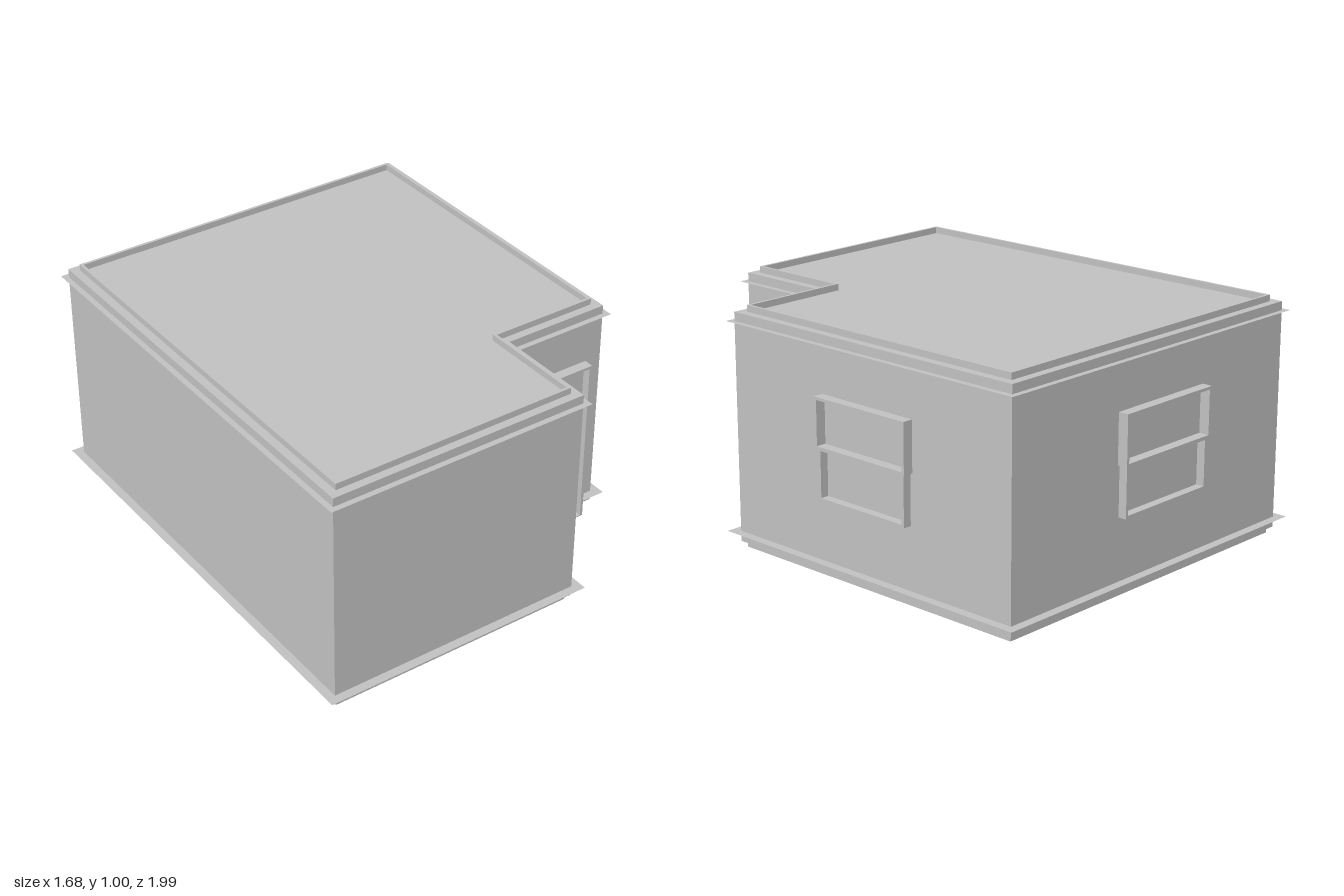
import * as THREE from 'three';

export function createModel() {
  const model = new THREE.Group();
  const plaster = new THREE.MeshStandardMaterial({ color: 0xc0c0c0, side: THREE.DoubleSide });
  plaster.name = 'plaster grey';

  const add = (parent, name, geometry) => {
    const mesh = new THREE.Mesh(geometry, plaster);
    mesh.name = name;
    parent.add(mesh);
    return mesh;
  };

  // L-shaped floor plan grown outwards by d; optional gap cut for the doorway
  const outline = (d, doorGap = false) => {
    const points = [
      [-0.798 - d, 0.953 + d], [0.33 + d, 0.953 + d], [0.33 + d, 0.505 + d],
      ...(doorGap ? [[0.41, 0.505 + d], [0.41, 0.49], [0.715, 0.49], [0.715, 0.505 + d]] : []),
      [0.798 + d, 0.505 + d], [0.798 + d, -0.953 - d], [-0.798 - d, -0.953 - d],
    ];
    return points.map(([x, z]) => new THREE.Vector2(x, -z));
  };

  const slab = (shape, y, height) => new THREE.ExtrudeGeometry(shape, { depth: height, bevelEnabled: false })
    .rotateX(-Math.PI / 2).translate(0, y, 0);
  const sheet = (shape, y) => new THREE.ShapeGeometry(shape).rotateX(-Math.PI / 2).translate(0, y, 0);
  const ring = (outer, inner) => {
    const shape = new THREE.Shape(outline(outer));
    shape.holes.push(new THREE.Path(outline(inner)));
    return shape;
  };

  // Main body with its roof and floor
  add(model, 'walls', slab(new THREE.Shape(outline(0)), 0.025, 0.95));
  add(model, 'roofRim', slab(ring(-0.035, -0.047), 0.975, 0.027));
  add(model, 'plinth', slab(ring(-0.018, -0.03), 0, 0.025));

  // Thin projecting ledges under the roof and above the ground
  add(model, 'corniceLedge', sheet(new THREE.Shape(outline(0.024)), 0.938));
  add(model, 'baseLedge', sheet(new THREE.Shape(outline(0.038, true)), 0.068));

  // Rectangular frame in the xy plane, back at z = 0
  const frame = (parent, name, x0, x1, y0, y1, bar, depth, withSill = true) => {
    const shape = new THREE.Shape([[x0, y0], [x1, y0], [x1, y1], [x0, y1]]
      .map(([x, y]) => new THREE.Vector2(x, y)));
    const bottom = withSill ? y0 + bar : y0 + 0.004;
    shape.holes.push(new THREE.Path([[x0 + bar, bottom], [x1 - bar, bottom], [x1 - bar, y1 - bar], [x0 + bar, y1 - bar]]
      .map(([x, y]) => new THREE.Vector2(x, y))));
    return add(parent, name, new THREE.ExtrudeGeometry(shape, { depth, bevelEnabled: false }));
  };

  // Sash windows: the upper sash stands a little prouder than the lower
  const sashWindow = (name, width) => {
    const group = new THREE.Group();
    group.name = name;
    const w = width / 2;
    frame(group, 'upperSash', -w, w, 0.535, 0.742, 0.012, 0.044);
    frame(group, 'lowerSash', -w + 0.01, w - 0.01, 0.327, 0.54, 0.012, 0.036);
    model.add(group);
    return group;
  };
  const sideWindow = sashWindow('sideWindow', 0.475);
  sideWindow.rotation.y = Math.PI / 2;
  sideWindow.position.set(0.798, 0, -0.225);
  const backWindow = sashWindow('backWindow', 0.505);
  backWindow.rotation.y = Math.PI;
  backWindow.position.set(-0.042, 0, -0.953);

  // Door with a slim surround
  const door = new THREE.Group();
  door.name = 'door';
  door.position.z = 0.5;
  frame(door, 'doorFrame', 0.402, 0.724, 0, 0.742, 0.012, 0.048, false);
  add(door, 'doorPanel', new THREE.BoxGeometry(0.3, 0.73, 0.01).translate(0.563, 0.367, 0.007));
  model.add(door);

  return model;
}
